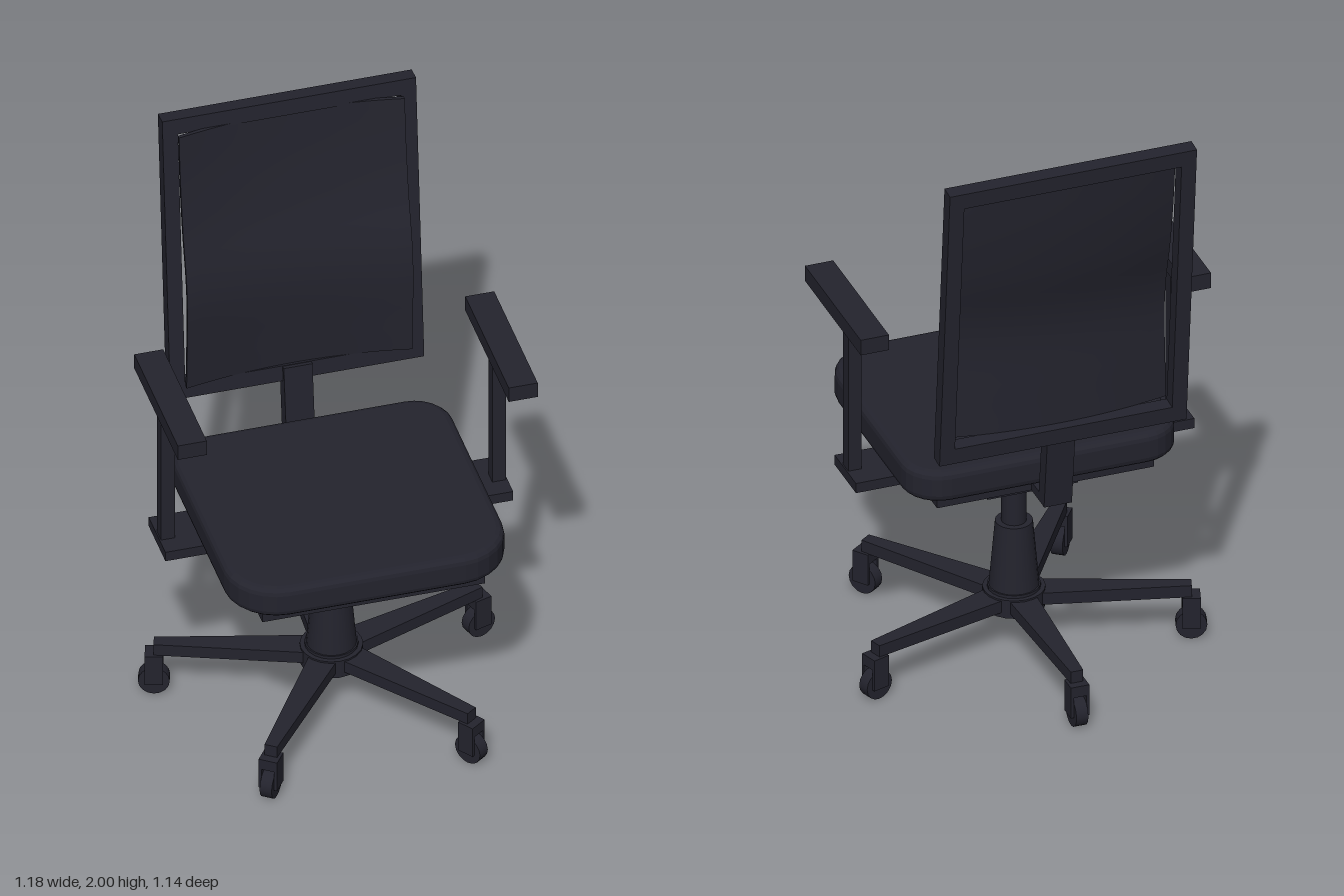
import * as THREE from 'three';

const charcoal = new THREE.MeshStandardMaterial({ color: 0x23232d });
charcoal.name = 'charcoal';

function add(parent, name, geometry, x = 0, y = 0, z = 0) {
  const mesh = new THREE.Mesh(geometry, charcoal);
  mesh.name = name;
  mesh.position.set(x, y, z);
  parent.add(mesh);
  return mesh;
}

// box given by its lower and upper corners
function block(parent, name, [x0, y0, z0], [x1, y1, z1]) {
  return add(parent, name, new THREE.BoxGeometry(x1 - x0, y1 - y0, z1 - z0),
    (x0 + x1) / 2, (y0 + y1) / 2, (z0 + z1) / 2);
}

function rectangle(path, x, y) {
  path.moveTo(-x, -y);
  path.lineTo(x, -y);
  path.lineTo(x, y);
  path.lineTo(-x, y);
  path.closePath();
  return path;
}

// one tapered foot with its caster, pointing along +z
function makeFoot() {
  const foot = new THREE.Group();
  foot.name = 'foot';
  const beam = new THREE.BoxGeometry(0.1, 0.042, 0.56);
  const p = beam.attributes.position;
  for (let i = 0; i < p.count; i++) if (p.getZ(i) > 0) p.setX(i, p.getX(i) * 0.42);
  beam.computeVertexNormals();
  add(foot, 'footBeam', beam, 0, 0.173, 0.28);
  block(foot, 'casterBridge', [-0.031, 0.115, 0.53], [0.031, 0.153, 0.588]);
  for (const s of [-1, 1]) {
    add(foot, 'casterFork', new THREE.BoxGeometry(0.01, 0.1, 0.058), s * 0.026, 0.092, 0.559);
  }
  const wheel = new THREE.CylinderGeometry(0.05, 0.05, 0.04, 16).rotateZ(Math.PI / 2);
  add(foot, 'casterWheel', wheel, 0, 0.05, 0.559);
  return foot;
}

// cushion with larger corners at the front than at the back
function makeSeat() {
  const b = 0.025, x = 0.456 - b, front = 0.57 - b, back = -0.285 + b, rf = 0.145, rb = 0.1;
  const s = new THREE.Shape();
  const H = Math.PI / 2;
  s.absarc(x - rf, -front + rf, rf, -H, 0);
  s.absarc(x - rb, -back - rb, rb, 0, H);
  s.absarc(-x + rb, -back - rb, rb, H, 2 * H);
  s.absarc(-x + rf, -front + rf, rf, 2 * H, 3 * H);
  return new THREE.ExtrudeGeometry(s, {
    depth: 0.06, bevelSize: b, bevelThickness: b, bevelSegments: 3, curveSegments: 3,
  }).rotateX(-Math.PI / 2);
}

// backrest sheet: S-curved in profile, its side edges bent forward
function makeSheet() {
  const profile = new THREE.SplineCurve([
    [1.02, -0.366], [1.15, -0.36], [1.32, -0.354], [1.45, -0.368],
    [1.6, -0.405], [1.78, -0.435], [1.95, -0.452],
  ].map(([y, z]) => new THREE.Vector2(y, z)));
  const g = new THREE.BoxGeometry(0.74, 1, 0.012, 14, 24, 1);
  const p = g.attributes.position, v = new THREE.Vector2();
  for (let i = 0; i < p.count; i++) {
    profile.getPoint(p.getY(i) + 0.5, v);
    const bend = 0.038 * (p.getX(i) / 0.37) ** 2;
    p.setY(i, v.x);
    p.setZ(i, p.getZ(i) + v.y + bend);
  }
  g.computeVertexNormals();
  return g;
}

export function createModel() {
  const chair = new THREE.Group();
  chair.name = 'officeChair';
  const axis = 0.04, lean = -0.09;

  // five-star base
  const base = new THREE.Group();
  base.name = 'base';
  base.position.z = axis;
  for (let i = 0; i < 5; i++) {
    const foot = makeFoot();
    foot.rotation.y = Math.PI + i * Math.PI * 2 / 5;
    base.add(foot);
  }
  add(base, 'hub', new THREE.CylinderGeometry(0.1, 0.1, 0.065, 20), 0, 0.1675, 0);
  add(base, 'hubCollar', new THREE.CylinderGeometry(0.085, 0.085, 0.02, 20), 0, 0.2, 0);
  add(base, 'columnSleeve', new THREE.CylinderGeometry(0.06, 0.08, 0.23, 20), 0, 0.325, 0);
  add(base, 'gasLift', new THREE.CylinderGeometry(0.04, 0.04, 0.2, 20), 0, 0.54, 0);
  chair.add(base);

  // seat and the parts beneath it
  block(chair, 'tiltMechanism', [-0.152, 0.635, -0.127], [0.152, 0.712, 0.29]);
  block(chair, 'seatPlate', [-0.365, 0.711, -0.24], [0.365, 0.752, 0.52]);
  block(chair, 'armBracket', [-0.57, 0.71, -0.06], [0.57, 0.745, 0.13]);
  add(chair, 'seatCushion', makeSeat(), 0, 0.775, 0);

  // armrests
  for (const s of [-1, 1]) {
    add(chair, 'armPost', new THREE.BoxGeometry(0.045, 0.515, 0.045), s * 0.543, 0.9975, 0.0425);
    add(chair, 'armPad', new THREE.BoxGeometry(0.095, 0.055, 0.495), s * 0.5425, 1.2975, 0.0925);
  }

  // back support and leaning frame
  block(chair, 'backBar', [-0.047, 0.71, -0.34], [0.047, 0.742, -0.1]);
  add(chair, 'backUpright', new THREE.BoxGeometry(0.094, 0.308, 0.05), 0, 0.864, -0.344)
    .rotation.x = -0.115;
  const outline = rectangle(new THREE.Shape(), 0.416, 0.52);
  outline.holes.push(rectangle(new THREE.Path(), 0.366, 0.464));
  const frame = new THREE.ExtrudeGeometry(outline, { depth: 0.05, bevelEnabled: false });
  add(chair, 'backFrame', frame.translate(0, 0, -0.025), 0, 1.48, -0.418).rotation.x = lean;
  add(chair, 'backSheet', makeSheet());

  return chair;
}
